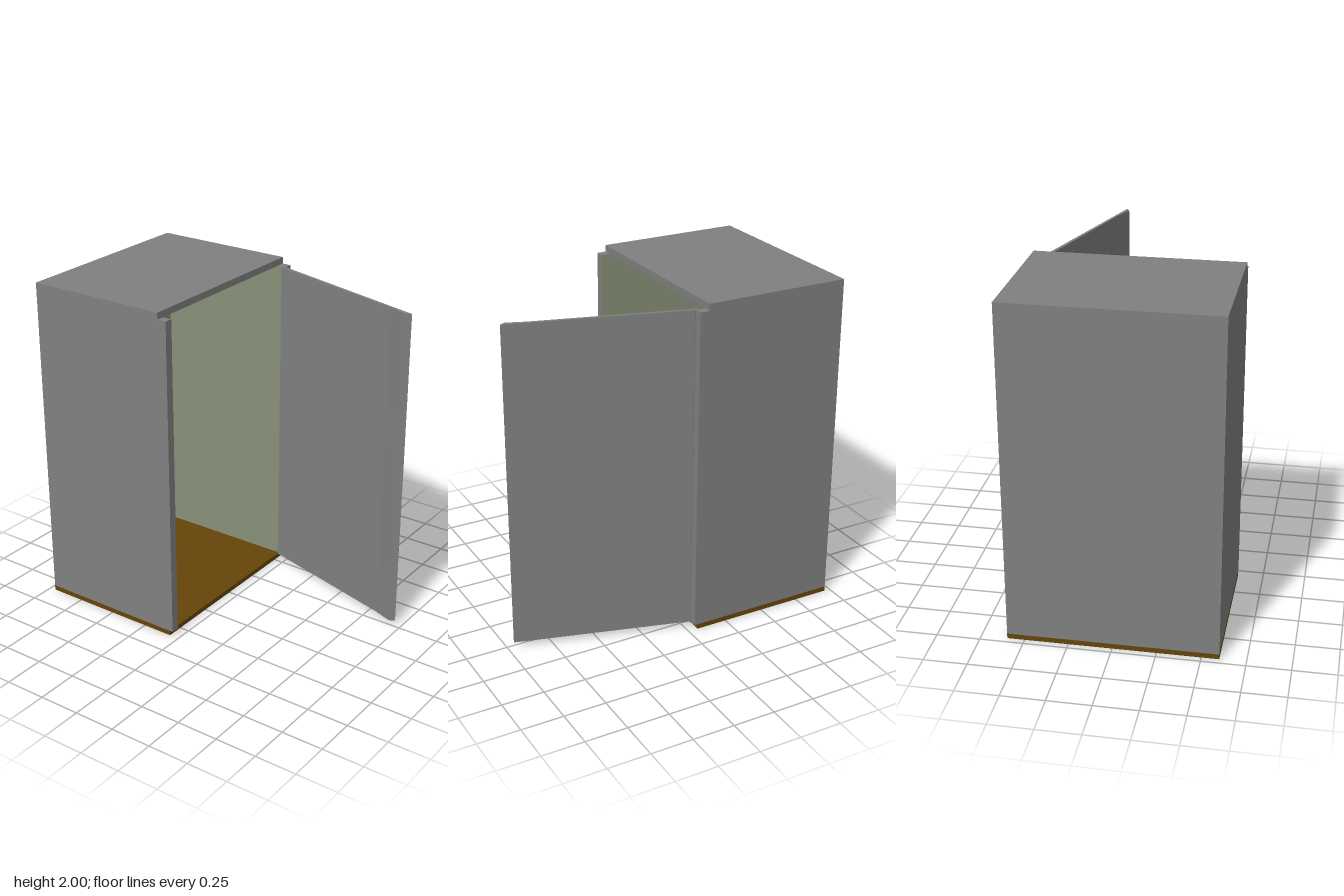
import * as THREE from 'three';

export function createModel() {
  const model = new THREE.Group();
  model.name = 'booth';

  const mat = (name, color) => {
    const m = new THREE.MeshStandardMaterial({ color });
    m.name = name;
    return m;
  };
  const grey = mat('grey shell', 0x808080);
  const green = mat('pale green lining', 0x889078);
  const brown = mat('brown floor', 0x664409);

  // Box from minimum and maximum corners; greenSide picks the lined face
  // (0 +x, 1 -x, 2 +y, 3 -y, 4 +z, 5 -z)
  function box(name, [x0, y0, z0], [x1, y1, z1], material, greenSide = -1) {
    const geo = new THREE.BoxGeometry(x1 - x0, y1 - y0, z1 - z0);
    geo.translate((x0 + x1) / 2, (y0 + y1) / 2, (z0 + z1) / 2);
    const mats = greenSide < 0 ? material
      : Array.from({ length: 6 }, (_, i) => (i === greenSide ? green : material));
    const mesh = new THREE.Mesh(geo, mats);
    mesh.name = name;
    model.add(mesh);
  }

  const W = 0.6, T = 0.05, BACK = -0.963, FLOOR = 0.03, CEIL = 1.96;

  // Shell
  box('floor', [-W, 0, BACK], [W, FLOOR, -0.06], brown);
  box('rightWall', [-W, FLOOR, BACK], [-W + T, CEIL, -0.04], grey, 0);
  box('leftWall', [W - T, FLOOR, BACK], [W, CEIL, -0.04], grey, 1);
  box('backWall', [-W + T, FLOOR, BACK], [W - T, CEIL, BACK + T], grey, 4);
  box('roof', [-W, CEIL, BACK], [W, 2, -0.095], grey, 3);

  // Open door: plan outline (x, z) with a thicker grip along its free edge
  const plan = [
    [0.55, -0.06], [0.55, -0.035], [0.265, 0.963],
    [0.247, 0.93], [0.288, 0.82], [0.535, -0.06],
  ];
  const outline = new THREE.Shape(plan.map(([x, z]) => new THREE.Vector2(x, -z)));
  const doorGeo = new THREE.ExtrudeGeometry(outline, { depth: CEIL - FLOOR, bevelEnabled: false });
  doorGeo.rotateX(-Math.PI / 2);
  doorGeo.translate(0, FLOOR, 0);
  const door = new THREE.Mesh(doorGeo, grey);
  door.name = 'door';
  model.add(door);

  return model;
}
